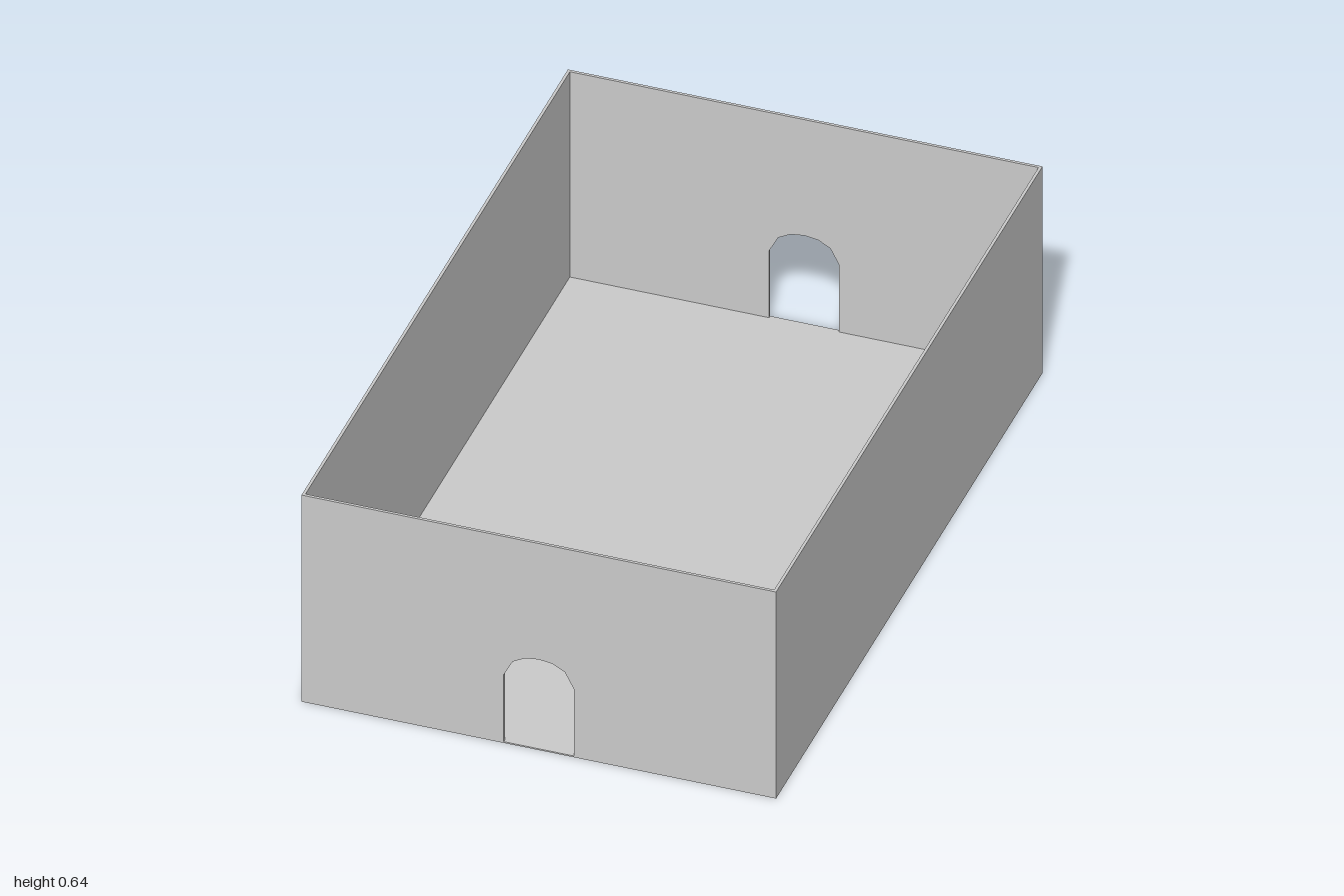
import * as THREE from 'three';

const W = 1.274, H = 0.636, L = 2; // overall size
const WALL = 0.008, FLOOR = 0.004;

export function createModel() {
  const model = new THREE.Group();
  model.name = 'openWalledRoom';
  const material = new THREE.MeshStandardMaterial({ color: 0xcccccc, flatShading: true });

  const add = (name, geometry, x, y, z) => {
    const mesh = new THREE.Mesh(geometry, material);
    mesh.name = name;
    mesh.position.set(x, y, z);
    model.add(mesh);
  };

  // Floor slab
  add('floor', new THREE.BoxGeometry(W, FLOOR, L), 0, FLOOR / 2, 0);

  // Long side walls, standing on the floor between the end walls
  for (const [name, side] of [['leftWall', 1], ['rightWall', -1]]) {
    add(name, new THREE.BoxGeometry(WALL, H - FLOOR, L - 2 * WALL),
      side * (W - WALL) / 2, (H + FLOOR) / 2, 0);
  }

  // End wall outline with an arched doorway cut up from the floor
  const arch = [[0.094, FLOOR], [0.094, 0.21], [0.07, 0.256], [0.037, 0.274], [0, 0.279]];
  const mirrored = arch.slice(0, -1).reverse().map(([x, y]) => [-x, y]);
  const outline = [
    [-W / 2, FLOOR], ...[...arch, ...mirrored].reverse(),
    [W / 2, FLOOR], [W / 2, H], [-W / 2, H],
  ];
  const shape = new THREE.Shape(outline.map(([x, y]) => new THREE.Vector2(x, y)));
  const endWall = new THREE.ExtrudeGeometry(shape, { depth: WALL, bevelEnabled: false });
  add('frontWall', endWall, 0, 0, L / 2 - WALL);
  add('backWall', endWall, 0, 0, -L / 2);

  return model;
}
